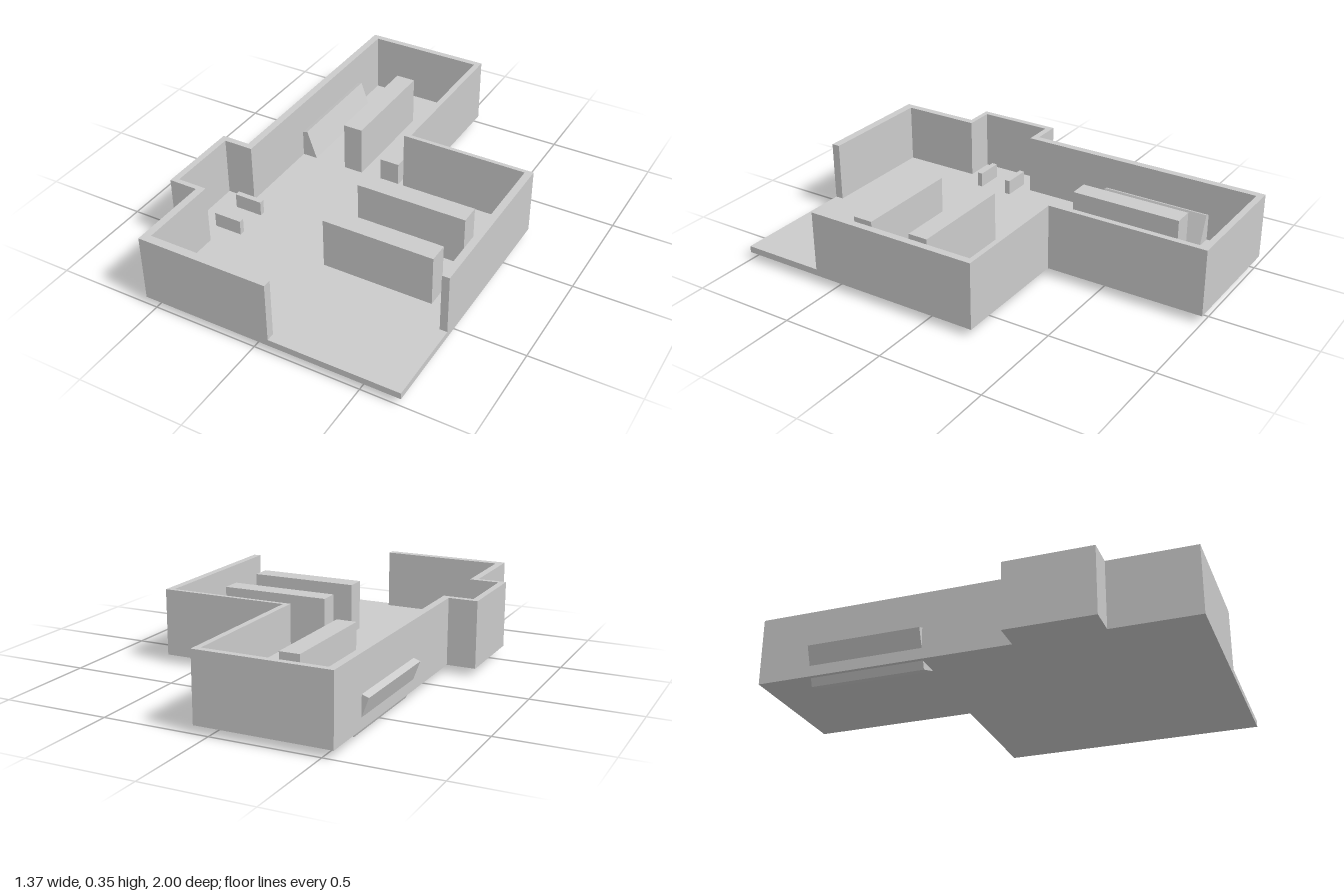
import * as THREE from 'three';

const BASE = 0.037, FLOOR = 0.068, TOP = 0.354;
const material = new THREE.MeshStandardMaterial({ color: 0xcccccc, flatShading: true });

function add(group, name, geometry) {
  const mesh = new THREE.Mesh(geometry, material);
  mesh.name = name;
  group.add(mesh);
  return mesh;
}

// Raises a plan outline of [x, z] points from y0 to y1.
function slab(points, y0, y1) {
  const shape = new THREE.Shape(points.map(([x, z]) => new THREE.Vector2(x, z)));
  return new THREE.ExtrudeGeometry(shape, { depth: y1 - y0, bevelEnabled: false })
    .rotateX(Math.PI / 2)
    .translate(0, y1, 0);
}

// Box given by its plan limits, standing on the floor.
function standingBox(x0, x1, z0, z1, top) {
  return new THREE.BoxGeometry(x1 - x0, top - FLOOR, z1 - z0)
    .translate((x0 + x1) / 2, (FLOOR + top) / 2, (z0 + z1) / 2);
}

export function createModel() {
  const model = new THREE.Group();
  model.name = 'roomPlan';

  // Outer edge of the walls, from the front opening round to the right-hand end
  const outer = [
    [0.07, 1], [-0.55, 1], [-0.55, 0.6], [-0.687, 0.6], [-0.687, 0.193], [-0.55, 0.193],
    [-0.55, -1], [0.07, -1], [0.07, -0.237], [0.685, -0.237], [0.685, 0.6],
  ];
  // Inner edge, back the other way
  const inner = [
    [0.65, 0.6], [0.65, -0.217], [0.042, -0.217], [0.042, -0.97], [-0.515, -0.97],
    [-0.515, 0.223], [-0.657, 0.223], [-0.657, 0.576], [-0.515, 0.576], [-0.515, 0.96], [0.07, 0.96],
  ];

  // Floor fills the outline and the open corner
  add(model, 'floor', slab([...outer.slice(1), [0.685, 1]], BASE, FLOOR));
  add(model, 'walls', slab([...outer, ...inner], FLOOR, TOP));

  // Display shelves in the main room
  for (const z of [0.08, 0.38]) {
    add(model, 'mainShelf', standingBox(0.02, 0.55, z, z + 0.096, 0.31));
  }

  // Tall and low shelves in the back room
  add(model, 'tallBackShelf', standingBox(-0.28, -0.185, -0.75, -0.216, 0.31));
  add(model, 'lowBackShelf', standingBox(-0.08, 0.015, -0.75, -0.216, 0.18));

  // Shelf tipped over through the side wall, pivoting on its lower outer edge
  const w = 0.096, h = 0.184, d = 0.534;
  const tipped = add(model, 'tippedShelf', new THREE.BoxGeometry(w, h, d).translate(w / 2, h / 2, 0));
  tipped.position.set(-0.518, 0, -0.483);
  tipped.rotation.z = THREE.MathUtils.degToRad(20);

  // Low barriers at the alcove
  for (const z of [0.285, 0.45]) {
    add(model, 'alcoveBarrier', standingBox(-0.555, -0.42, z, z + 0.026, 0.14));
  }

  return model;
}
